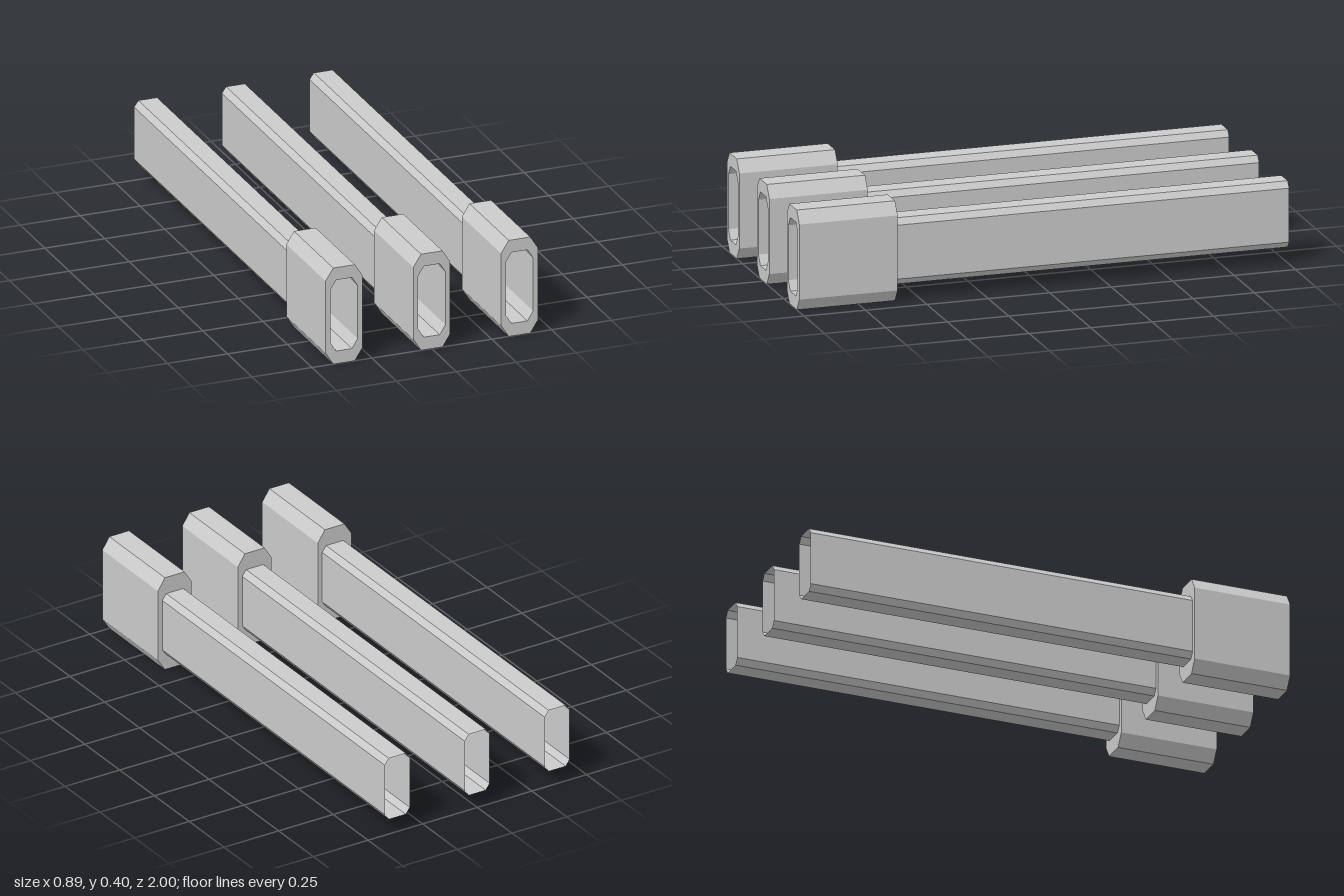
import * as THREE from 'three';

const material = new THREE.MeshStandardMaterial({ color: 0xcccccc, flatShading: true, side: THREE.DoubleSide });

// Corners of an upright rectangle with chamfered corners (half width w, chamfer cx by cy)
function octagon(w, y0, y1, cx, cy) {
  return [
    [w - cx, y0], [w, y0 + cy], [w, y1 - cy], [w - cx, y1],
    [cx - w, y1], [-w, y1 - cy], [-w, y0 + cy], [cx - w, y0],
  ].map(([x, y]) => new THREE.Vector2(x, y));
}

// Open thin-walled tube joining the same outline at two depths
function openTube(points, zBack, zFront) {
  const positions = [];
  points.forEach((a, i) => {
    const b = points[(i + 1) % points.length];
    positions.push(
      a.x, a.y, zFront, a.x, a.y, zBack, b.x, b.y, zBack,
      a.x, a.y, zFront, b.x, b.y, zBack, b.x, b.y, zFront);
  });
  const geometry = new THREE.BufferGeometry();
  geometry.setAttribute('position', new THREE.Float32BufferAttribute(positions, 3));
  geometry.computeVertexNormals();
  return geometry;
}

export function createModel() {
  const model = new THREE.Group();
  model.name = 'tubeSet';

  const outer = octagon(0.077, 0, 0.402, 0.032, 0.05);
  const opening = octagon(0.057, 0.053, 0.35, 0.024, 0.038);
  const tubeOutline = octagon(0.057, 0.064, 0.331, 0.018, 0.025);

  // Thick collar with an opening in the front
  const collarShape = new THREE.Shape(outer);
  collarShape.holes.push(new THREE.Path(opening));
  const collarGeometry = new THREE.ExtrudeGeometry(collarShape, { depth: 0.4, bevelEnabled: false });
  collarGeometry.translate(0, 0, 0.6);

  // Wall closing the bottom of the opening
  const wallGeometry = new THREE.ShapeGeometry(new THREE.Shape(opening));
  wallGeometry.translate(0, 0, 0.6);

  const tubeGeometry = openTube(tubeOutline, -1, 0.6);

  const parts = { collar: collarGeometry, collarBackWall: wallGeometry, tube: tubeGeometry };

  // Three identical units side by side
  [['right', -0.366], ['middle', 0], ['left', 0.366]].forEach(([side, x]) => {
    const unit = new THREE.Group();
    unit.name = side + 'Unit';
    unit.position.x = x;
    for (const [name, geometry] of Object.entries(parts)) {
      const mesh = new THREE.Mesh(geometry, material);
      mesh.name = name;
      unit.add(mesh);
    }
    model.add(unit);
  });
  return model;
}
